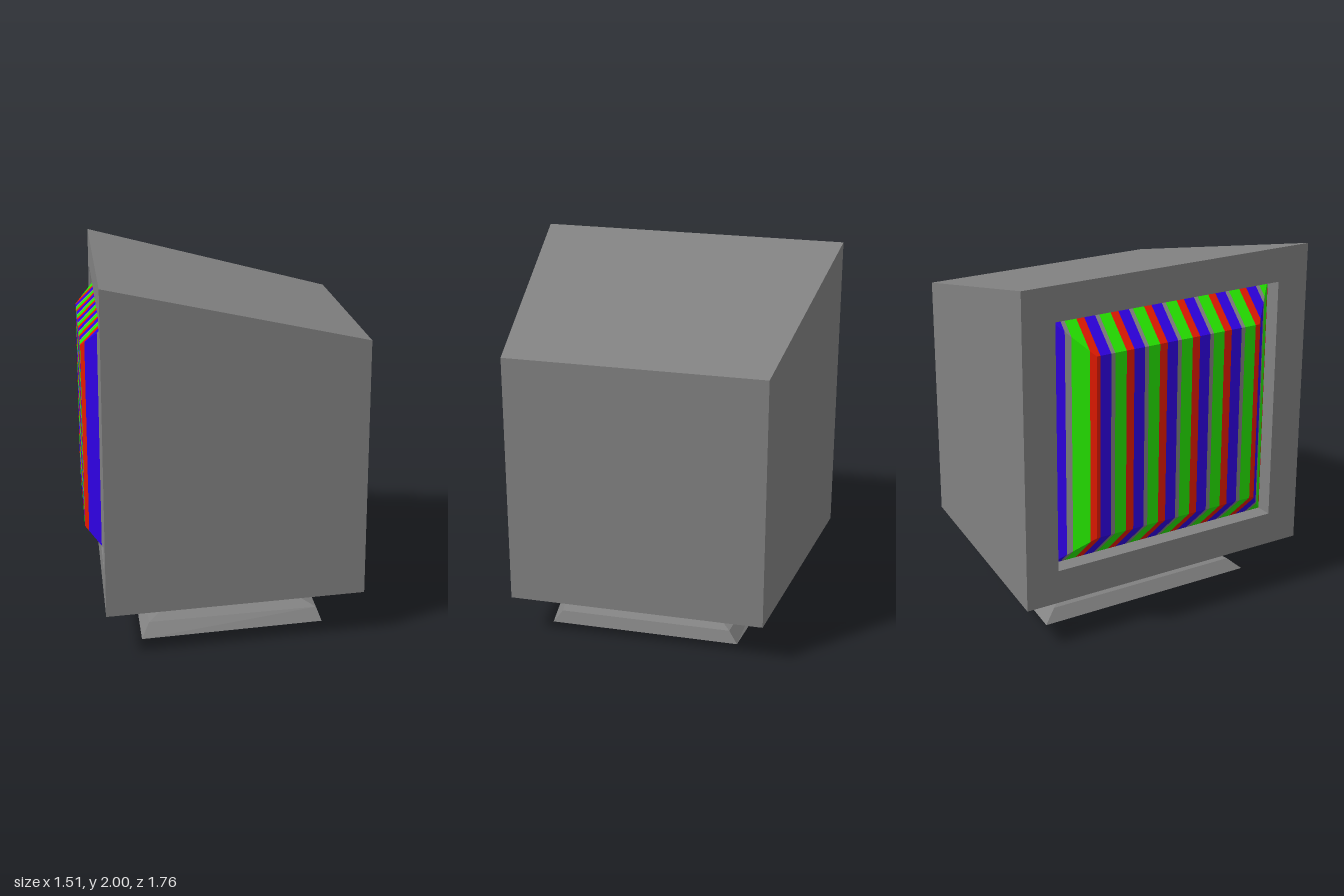
import * as THREE from 'three';

// Skin a closed sequence of rings (counter-clockwise about the direction of travel), flat shaded.
function loft(rings, capStart = false, capEnd = false) {
  const pos = [];
  const quad = (a, b, c, d) => pos.push(...a, ...b, ...c, ...a, ...c, ...d);
  const n = rings[0].length;
  for (let i = 0; i < rings.length - 1; i++) {
    for (let j = 0; j < n; j++) {
      const k = (j + 1) % n;
      quad(rings[i][j], rings[i][k], rings[i + 1][k], rings[i + 1][j]);
    }
  }
  if (capStart) quad(...[...rings[0]].reverse());
  if (capEnd) quad(...rings[rings.length - 1]);
  const geo = new THREE.BufferGeometry();
  geo.setAttribute('position', new THREE.Float32BufferAttribute(pos, 3));
  geo.computeVertexNormals();
  return geo;
}

// Horizontal trapezoid: half-depth za at x0, zb at x1
const level = (y, x0, x1, za, zb) => [[x0, y, za], [x1, y, zb], [x1, y, -zb], [x0, y, -za]];
// Upright rectangle facing along x
const upright = (x, y0, y1, z) => [[x, y1, -z], [x, y1, z], [x, y0, z], [x, y0, -z]];

export function createModel() {
  const material = (name, color) => {
    const m = new THREE.MeshStandardMaterial({ color });
    m.name = name;
    return m;
  };
  const grey = material('casing grey', 0x828282);
  const green = material('stripe green', 0x26e600);
  const red = material('stripe red', 0xe61a00);
  const blue = material('stripe blue', 0x3000e6);

  const model = new THREE.Group();
  model.name = 'monitor';
  const add = (parent, name, geo, mat) => {
    const mesh = new THREE.Mesh(geo, mat);
    mesh.name = name;
    parent.add(mesh);
  };

  // Casing: recess wall, bezel, tapered shell and back
  const front = -0.665, recess = -0.57;
  const yLow = 0.43, yHigh = 1.81, zOpen = 0.69;
  add(model, 'casing', loft([
    upright(recess, yLow, yHigh, zOpen),
    upright(front, yLow, yHigh, zOpen),
    upright(front, 0.242, 2, 0.88),
    upright(0.754, 0.242, 1.66, 0.71),
  ], false, true), grey);

  // Shallow underside narrowing to the neck
  add(model, 'underside', loft([
    level(0.22, -0.3, 0.388, 0.445, 0.362),
    level(0.242, front, 0.754, 0.88, 0.71),
  ], true), grey);

  // Flared stand
  add(model, 'stand', loft([
    level(0, -0.465, 0.555, 0.66, 0.535),
    level(0.065, -0.42, 0.53, 0.585, 0.485),
    level(0.1, -0.33, 0.435, 0.475, 0.4),
    level(0.138, -0.3, 0.388, 0.445, 0.362),
    level(0.222, -0.3, 0.388, 0.445, 0.362),
  ], true), grey);

  // Bulging screen with bevelled edges, sliced along z into colour stripes
  const screen = new THREE.Group();
  screen.name = 'screen';
  model.add(screen);
  const bulge = 0.185, flat = zOpen - bulge;
  const slice = (z) => {
    const h = Math.min(bulge, zOpen - Math.abs(z));
    return [[recess, yHigh, z], [recess - h, yHigh - h, z], [recess - h, yLow + h, z], [recess, yLow, z]];
  };
  const bands = [['redStripe', red, 0.046], ['blueStripe', blue, 0.064],
    ['greyStripe', grey, 0.024], ['greenStripe', green, 0.068]];
  let z = -0.732;
  for (let i = 0; z < zOpen; i++) {
    const [name, mat, width] = bands[i % 4];
    const a = Math.max(z, -zOpen), b = Math.min(z + width, zOpen);
    z += width;
    if (b - a < 1e-4) continue;
    const cuts = [a, ...[-flat, flat].filter((c) => c > a && c < b), b];
    add(screen, name, loft(cuts.map(slice)), mat);
  }
  return model;
}
